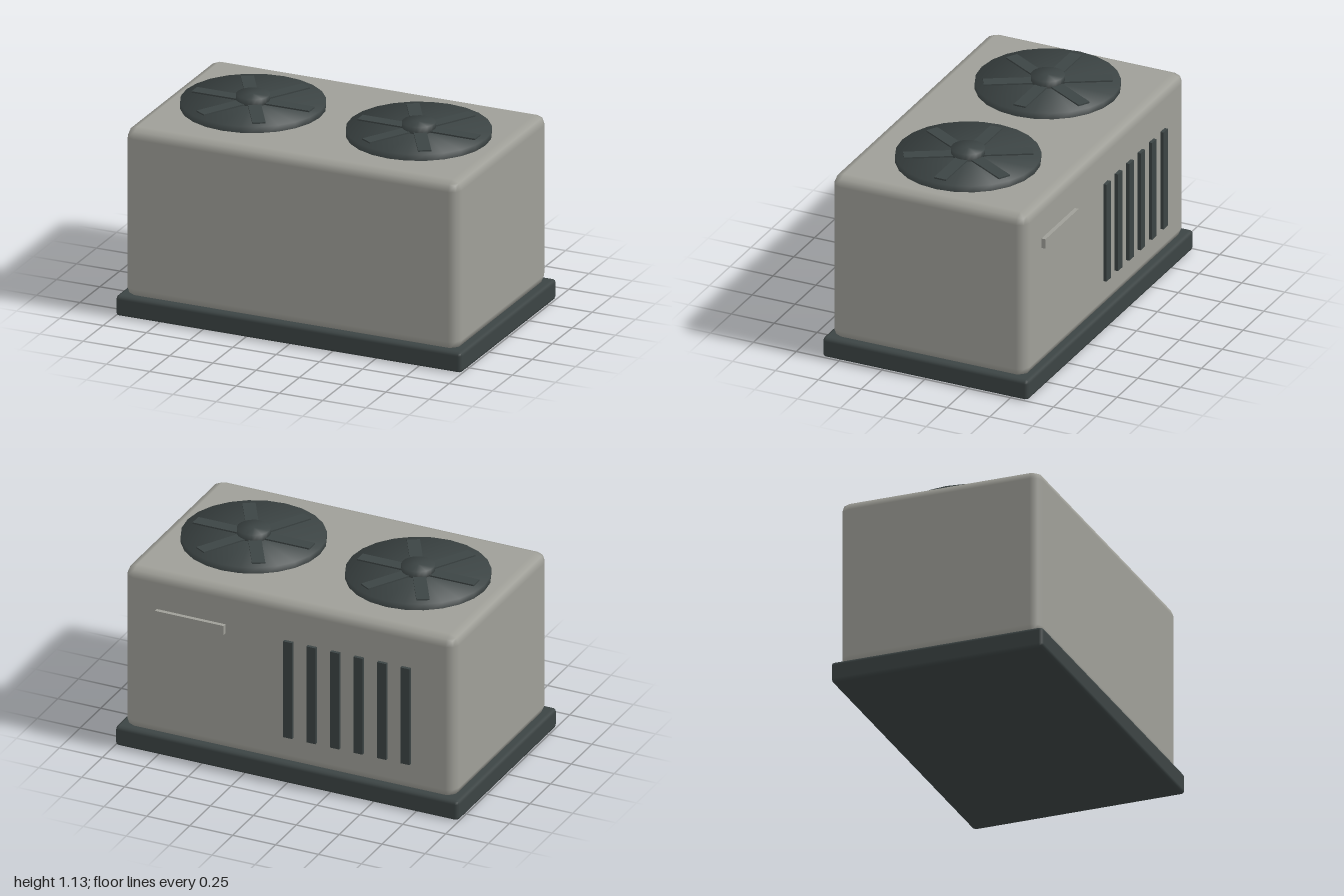
import * as THREE from 'three';
import { RoundedBoxGeometry } from 'three/addons/geometries/RoundedBoxGeometry.js';

const casing = new THREE.MeshStandardMaterial({ name: 'casingGrey', color: 0x9f9f98 });
const dark = new THREE.MeshStandardMaterial({ name: 'darkSlate', color: 0x3c4444 });

function add(parent, name, geometry, material, x, y, z) {
  const mesh = new THREE.Mesh(geometry, material);
  mesh.name = name;
  mesh.position.set(x, y, z);
  parent.add(mesh);
  return mesh;
}

// Flat disc shaded softly across its rim
function softDisc(radius, height, sides) {
  const g = new THREE.CylinderGeometry(radius, radius, height, sides);
  const p = g.attributes.position;
  const n = new THREE.Vector3();
  for (let i = 0; i < p.count; i++) {
    n.set(p.getX(i), Math.sign(p.getY(i)) * radius, p.getZ(i)).normalize();
    g.attributes.normal.setXYZ(i, n.x, n.y, n.z);
  }
  return g;
}

// Round fan with six spokes and a hub
function createFan(name, x) {
  const fan = new THREE.Group();
  fan.name = name;
  fan.position.set(x, 1.05, 0);
  add(fan, 'fanDisc', softDisc(0.385, 0.06, 24), dark, 0, 0.008, 0);
  const bladeGeometry = new THREE.BoxGeometry(0.3, 0.02, 0.07);
  bladeGeometry.translate(0.19, 0, 0);
  for (let i = 0; i < 6; i++) {
    const blade = add(fan, 'fanBlade', bladeGeometry, dark, 0, 0.036, 0);
    blade.rotation.y = (i * Math.PI) / 3;
  }
  add(fan, 'fanHub', softDisc(0.09, 0.05, 20), dark, 0, 0.051, 0);
  return fan;
}

export function createModel() {
  const model = new THREE.Group();
  model.name = 'coolingUnit';

  // Plinth and casing
  add(model, 'base', new RoundedBoxGeometry(2, 0.115, 1.2, 1, 0.02), dark, 0, 0.0575, 0);
  add(model, 'body', new RoundedBoxGeometry(1.93, 0.953, 1.138, 1, 0.055), casing, 0, 0.5765, 0);

  // Twin fans on the top
  for (const side of [-1, 1]) {
    model.add(createFan(side < 0 ? 'rightFan' : 'leftFan', side * 0.479));
  }

  // Vertical vent slats on the back
  const slat = new THREE.BoxGeometry(0.053, 0.567, 0.03);
  for (let i = 0; i < 6; i++) {
    add(model, 'ventSlat', slat, dark, -0.685 + i * 0.137, 0.548, -0.573);
  }

  // Blank plate beside the vents
  add(model, 'backPlate', new THREE.BoxGeometry(0.4, 0.055, 0.026), casing, 0.57, 0.818, -0.579);

  return model;
}
